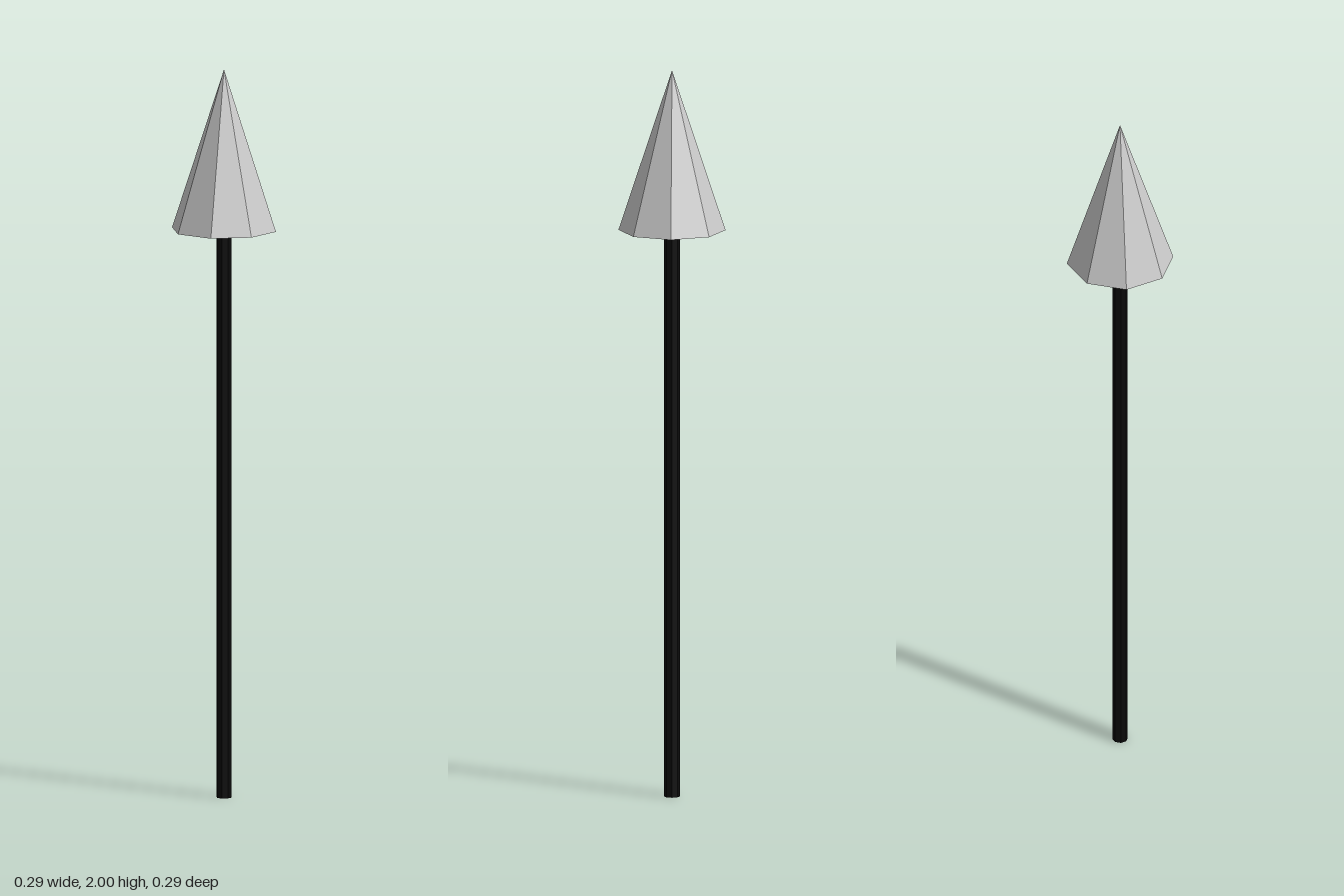
import * as THREE from 'three';

const BASE_Y = 1.56; // where the shaft meets the head

export function createModel() {
  const group = new THREE.Group();
  const grey = new THREE.MeshStandardMaterial({ color: 0xcccccc, flatShading: true });
  const black = new THREE.MeshStandardMaterial({ color: 0x0a0a0a, flatShading: true });

  // Eight-sided pointed head
  const head = new THREE.Mesh(new THREE.ConeGeometry(0.145, 2 - BASE_Y, 8), grey);
  head.name = 'arrowHead';
  head.position.y = (2 + BASE_Y) / 2;

  // Thin dark shaft standing on the ground
  const shaft = new THREE.Mesh(new THREE.CylinderGeometry(0.021, 0.021, BASE_Y, 8), black);
  shaft.name = 'shaft';
  shaft.position.y = BASE_Y / 2;

  group.add(head, shaft);
  return group;
}
